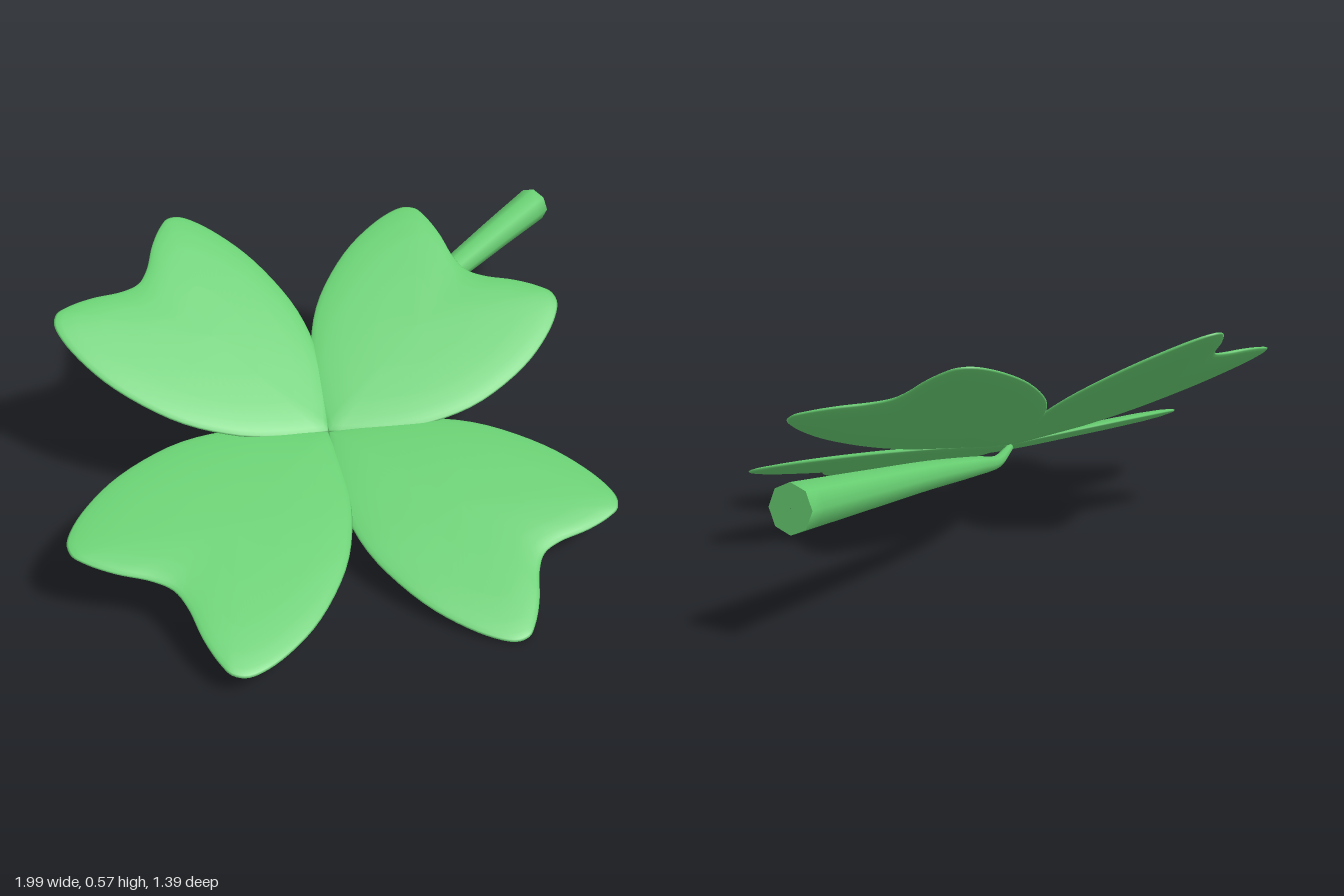
import * as THREE from 'three';

const green = new THREE.MeshStandardMaterial({ color: 0x66cc70 });
const vec = (p) => new THREE.Vector3(...p);

// Skin a stack of equal-sized closed rings of points.
function loft(rings) {
  const n = rings[0].length;
  const index = [];
  for (let r = 0; r < rings.length - 1; r++) {
    for (let i = 0; i < n; i++) {
      const j = (i + 1) % n;
      const a = r * n + i, b = r * n + j, c = a + n, d = b + n;
      index.push(a, b, c, b, d, c);
    }
  }
  const geometry = new THREE.BufferGeometry().setFromPoints(rings.flat());
  geometry.setIndex(index);
  geometry.computeVertexNormals();
  return geometry;
}

// Heart outline: u runs outward, v sideways, lobe tips lie at (1, -1) and (1, 1).
const half = [[0, 0], [0.1, 0.38], [0.25, 0.8], [0.45, 1.11], [0.68, 1.24], [0.85, 1.21],
  [0.96, 1.11], [1, 0.97], [0.995, 0.8], [0.96, 0.52], [0.905, 0.22]];
const outlinePoints = [
  ...half.map(([u, v]) => new THREE.Vector3(u, -v, 0)),
  new THREE.Vector3(0.885, 0, 0),
  ...half.slice().reverse().map(([u, v]) => new THREE.Vector3(u, v, 0)),
];
const outline = new THREE.CatmullRomCurve3(outlinePoints).getPoints(96).slice(0, -1);

const centre = new THREE.Vector3(-0.25, 0.21, -0.035);

// A thin cushioned leaflet spanned by the centre and its two lobe tips.
function leaflet(name, tipA, tipB) {
  const a = vec(tipA), b = vec(tipB);
  const U = a.clone().add(b).multiplyScalar(0.5).sub(centre);
  const V = b.clone().sub(a).multiplyScalar(0.5);
  const N = U.clone().cross(V).normalize();
  const ring = (scale, side) => outline.map((p) => {
    const u = 0.55 + (p.x - 0.55) * scale;
    const v = p.y * scale;
    const height = side * 0.016 * Math.sqrt(1 - scale ** 4);
    return centre.clone().addScaledVector(U, u).addScaledVector(V, v).addScaledVector(N, height);
  });
  const steps = [0.001, 0.4, 0.7, 0.86, 0.95, 0.988];
  const rings = [
    ...steps.map((s) => ring(s, -1)),
    ring(1, 0),
    ...steps.slice().reverse().map((s) => ring(s, 1)),
  ];
  const mesh = new THREE.Mesh(loft(rings), green);
  mesh.name = name;
  return mesh;
}

// Curved stem that thickens toward its flat cut end.
function stem() {
  const curve = new THREE.CatmullRomCurve3([
    [-0.25, 0.2, -0.035], [-0.06, 0.2, -0.1], [0.18, 0.237, -0.168],
    [0.45, 0.268, -0.2], [0.72, 0.287, -0.211], [0.997, 0.304, -0.216],
  ].map(vec));
  const segments = 28, sides = 8;
  const frames = curve.computeFrenetFrames(segments);
  const ring = (k, radius) => Array.from({ length: sides }, (_, i) => {
    const angle = (i / sides) * Math.PI * 2;
    return curve.getPointAt(k / segments)
      .addScaledVector(frames.normals[k], radius * Math.cos(angle))
      .addScaledVector(frames.binormals[k], radius * Math.sin(angle));
  });
  const radiusAt = (k) => 0.01 + 0.045 * (k / segments);
  const side = [ring(0, 0.0005)];
  for (let k = 0; k <= segments; k++) side.push(ring(k, radiusAt(k)));
  const group = new THREE.Group();
  group.name = 'stem';
  const stalk = new THREE.Mesh(loft(side), green);
  stalk.name = 'stalk';
  const cut = new THREE.Mesh(loft([ring(segments, radiusAt(segments)), ring(segments, 0.0005)]), green);
  cut.name = 'cutEnd';
  group.add(stalk, cut);
  return group;
}

export function createModel() {
  const model = new THREE.Group();
  model.name = 'fourLeafClover';
  model.add(
    leaflet('rightLeaf', [-0.985, 0.212, -0.215], [-0.94, 0.072, 0.27]),
    leaflet('frontLeaf', [-0.39, 0.01, 0.69], [0.07, 0.108, 0.665]),
    leaflet('leftLeaf', [0.465, 0.375, 0.2], [0.41, 0.525, -0.265]),
    leaflet('backLeaf', [-0.13, 0.58, -0.695], [-0.585, 0.49, -0.67]),
    stem(),
  );
  return model;
}
